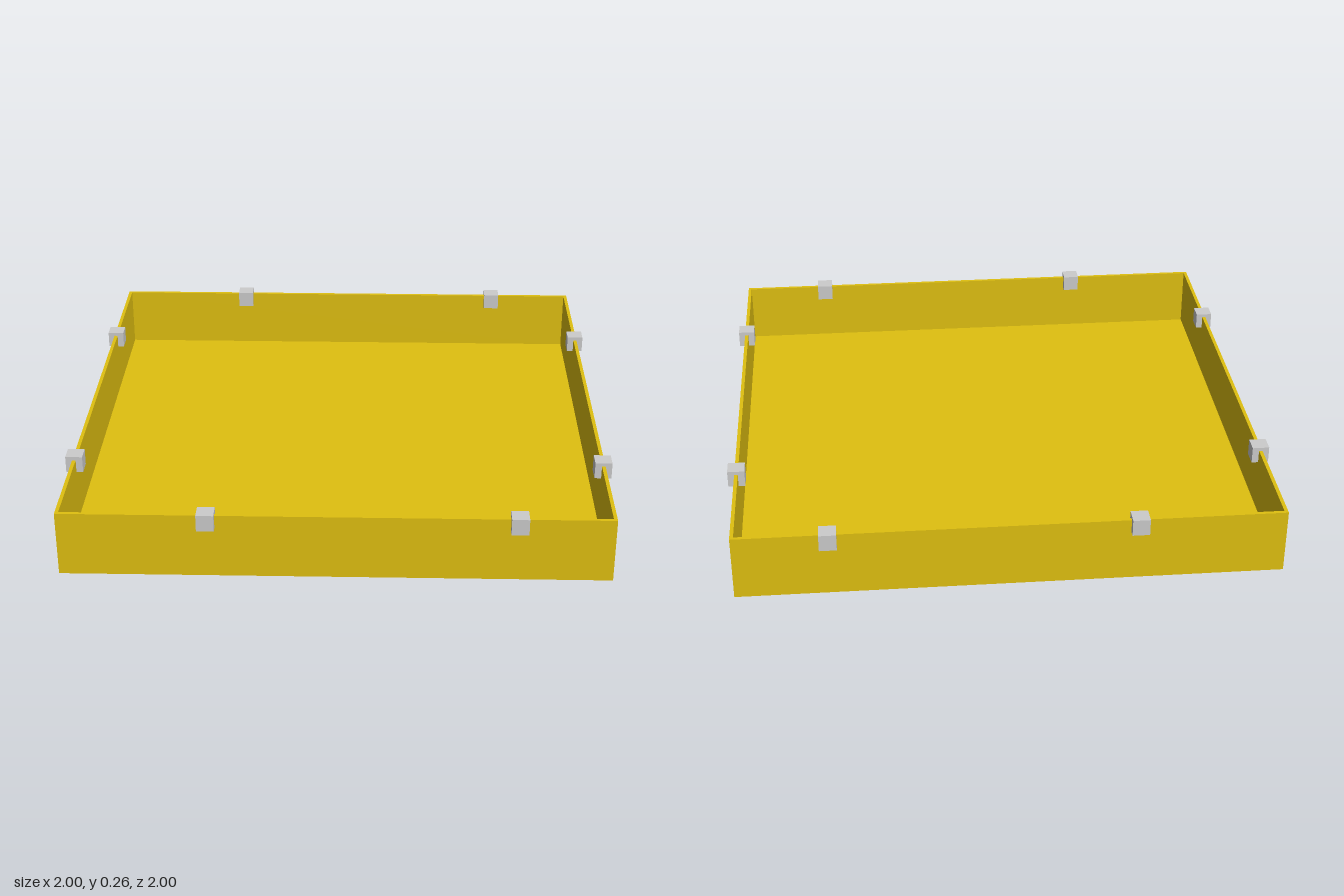
import * as THREE from 'three';

const HALF = 0.975, WALL = 0.013, HEIGHT = 0.243, FLOOR = 0.01;
const CLIP = 0.062, CLIP_Y = 0.225;

// Adds a square outline of the given half size to a shape or path
function square(path, h) {
  path.moveTo(-h, -h);
  path.lineTo(h, -h);
  path.lineTo(h, h);
  path.lineTo(-h, h);
  path.closePath();
  return path;
}

export function createModel() {
  const model = new THREE.Group();
  model.name = 'tray';
  const yellow = new THREE.MeshStandardMaterial({ color: 0xe0c010 });
  const grey = new THREE.MeshStandardMaterial({ color: 0xcccccc });

  // Thin rim of four walls, a square frame extruded upwards
  const outline = square(new THREE.Shape(), HALF);
  outline.holes.push(square(new THREE.Path(), HALF - WALL));
  const wallGeometry = new THREE.ExtrudeGeometry(outline, { depth: HEIGHT, bevelEnabled: false });
  wallGeometry.rotateX(-Math.PI / 2);
  const walls = new THREE.Mesh(wallGeometry, yellow);
  walls.name = 'walls';
  model.add(walls);

  // Floor panel fitted inside the walls
  const inner = 2 * (HALF - WALL);
  const floor = new THREE.Mesh(new THREE.BoxGeometry(inner, FLOOR, inner), yellow);
  floor.name = 'floor';
  floor.position.y = FLOOR / 2;
  model.add(floor);

  // Two clips straddling the top edge of every wall
  const clips = new THREE.Group();
  clips.name = 'clips';
  const clipGeometry = new THREE.BoxGeometry(CLIP, CLIP, CLIP);
  const addClip = (name, x, z) => {
    const clip = new THREE.Mesh(clipGeometry, grey);
    clip.name = name;
    clip.position.set(x, CLIP_Y, z);
    clips.add(clip);
  };
  const edge = HALF - WALL / 2;
  for (const side of [-1, 1]) {
    for (const x of [-0.45, 0.64]) addClip(side > 0 ? 'frontClip' : 'backClip', x, side * edge);
    for (const z of [-0.53, 0.56]) addClip(side > 0 ? 'leftClip' : 'rightClip', side * edge, z);
  }
  model.add(clips);

  return model;
}
